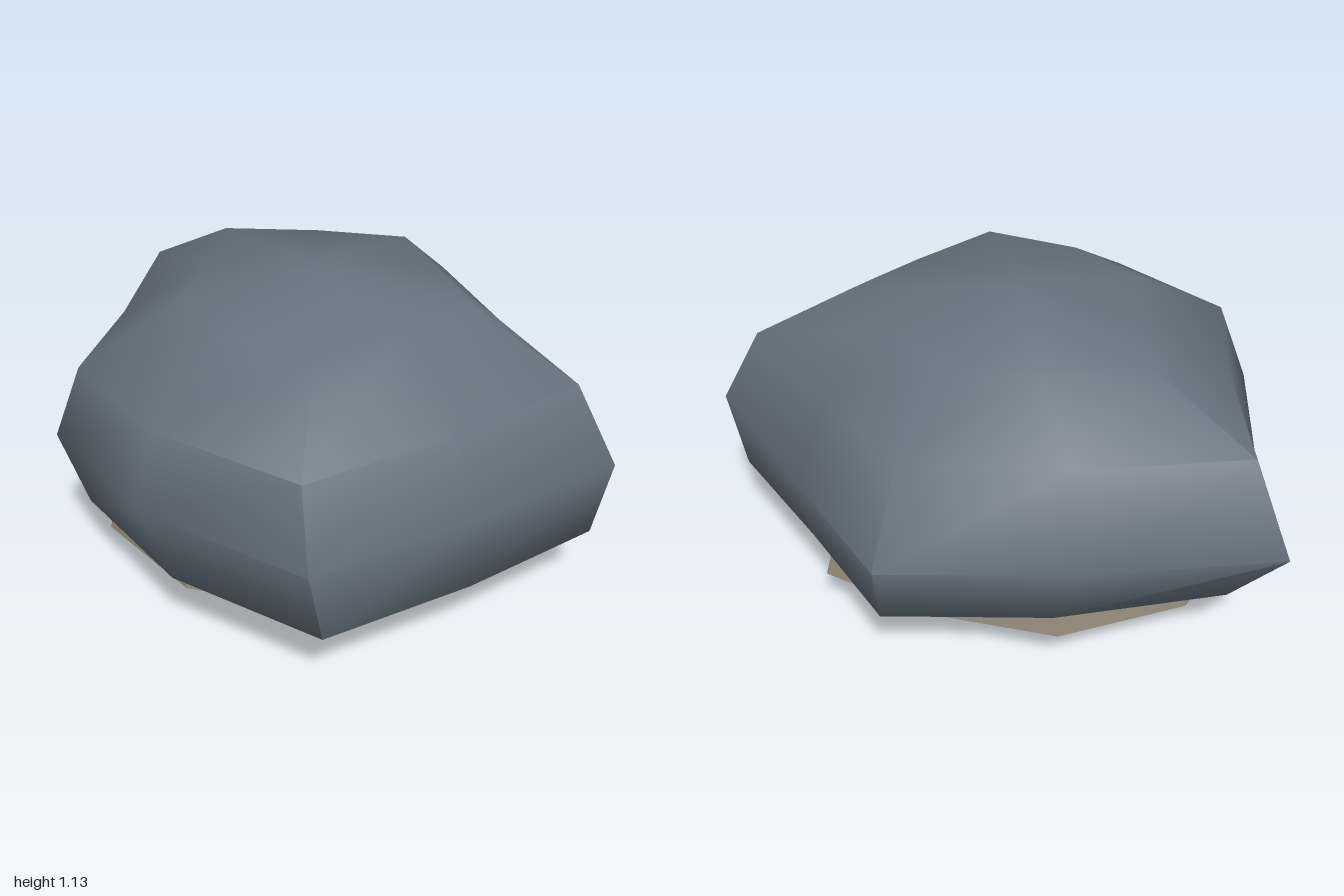
import * as THREE from 'three';
import { toCreasedNormals } from 'three/addons/utils/BufferGeometryUtils.js';

// Skins a stack of rings (bottom to top, each anticlockwise from above) and caps both ends.
function loft(rings, crease) {
  const pos = [];
  const tri = (...pts) => pts.forEach((p) => pos.push(p.x, p.y, p.z));
  const n = rings[0].length;
  const middle = (ring) =>
    ring.reduce((sum, p) => sum.add(p), new THREE.Vector3()).divideScalar(n);
  const bottom = middle(rings[0]);
  const top = middle(rings[rings.length - 1]);
  for (let i = 0; i < n; i++) {
    const k = (i + 1) % n;
    tri(bottom, rings[0][k], rings[0][i]);
    for (let j = 0; j < rings.length - 1; j++) {
      const a = rings[j], b = rings[j + 1];
      tri(a[i], a[k], b[k]);
      tri(a[i], b[k], b[i]);
    }
    tri(top, rings[rings.length - 1][i], rings[rings.length - 1][k]);
  }
  const geometry = new THREE.BufferGeometry();
  geometry.setAttribute('position', new THREE.Float32BufferAttribute(pos, 3));
  return toCreasedNormals(geometry, crease);
}

// Scales a plan outline about a centre and lifts it to a height.
function ringAt(outline, [cx, cz], y, sx, sz, ox = 0, oz = 0) {
  return outline.map(([x, z]) =>
    new THREE.Vector3(cx + ox + (x - cx) * sx, y, cz + oz + (z - cz) * sz));
}

export function createModel() {
  const slate = new THREE.MeshStandardMaterial({ color: 0x66727e });
  slate.name = 'slateGrey';
  const sand = new THREE.MeshStandardMaterial({ color: 0x8c8473 });
  sand.name = 'sandGrey';
  const group = new THREE.Group();
  group.name = 'boulder';

  // Boulder: a five-cornered outline that shrinks towards both poles
  const plan = [
    [1, -0.03], [0.6, -0.48], [0.24, -0.88], [-0.37, -0.78], [-1, -0.6],
    [-0.88, -0.03], [-0.83, 0.44], [-0.37, 0.75], [0.26, 0.88], [0.66, 0.42],
  ];
  const centre = [-0.06, -0.03];
  const levels = [ // y, scale x, scale z, shift x, shift z
    [0, 0.08, 0.08, 0, 0],
    [0.08, 0.54, 0.53, 0, 0],
    [0.285, 0.9, 0.89, 0.05, 0.03],
    [0.57, 1, 1, 0, 0],
    [0.85, 0.86, 0.87, 0, 0.05],
    [1.06, 0.51, 0.54, 0.02, 0],
    [1.135, 0.08, 0.08, 0, 0],
  ];
  const rings = levels.map((level) => ringAt(plan, centre, ...level));
  // The left corner stays upright; the lower right side is less undercut
  rings.forEach((ring) => { ring[0].z = -0.03; });
  rings[2][4].set(-0.83, 0.285, -0.46);
  rings[2][5].set(-0.82, 0.285, -0.02);
  rings[2][6].set(-0.75, 0.285, 0.4);
  const body = new THREE.Mesh(loft(rings, 1.03), slate);
  body.name = 'rockBody';
  group.add(body);

  // Ledge: a thin uneven slab poking out around the foot
  const slabPlan = [
    [0.56, -0.2], [0.53, -0.46], [0.14, -0.6], [-0.3, -0.63], [-0.7, -0.41],
    [-0.87, -0.02], [-0.69, 0.38], [-0.29, 0.6], [0.1, 0.57], [0.25, 0.48],
    [0.5, 0.37], [0.51, 0.23],
  ];
  const slabCentre = [-0.15, 0];
  const slab = new THREE.Mesh(loft([
    ringAt(slabPlan, slabCentre, 0.17, 1, 1),
    ringAt(slabPlan, slabCentre, 0.25, 0.97, 0.95),
  ], 0.5), sand);
  slab.name = 'rockLedge';
  group.add(slab);

  return group;
}
